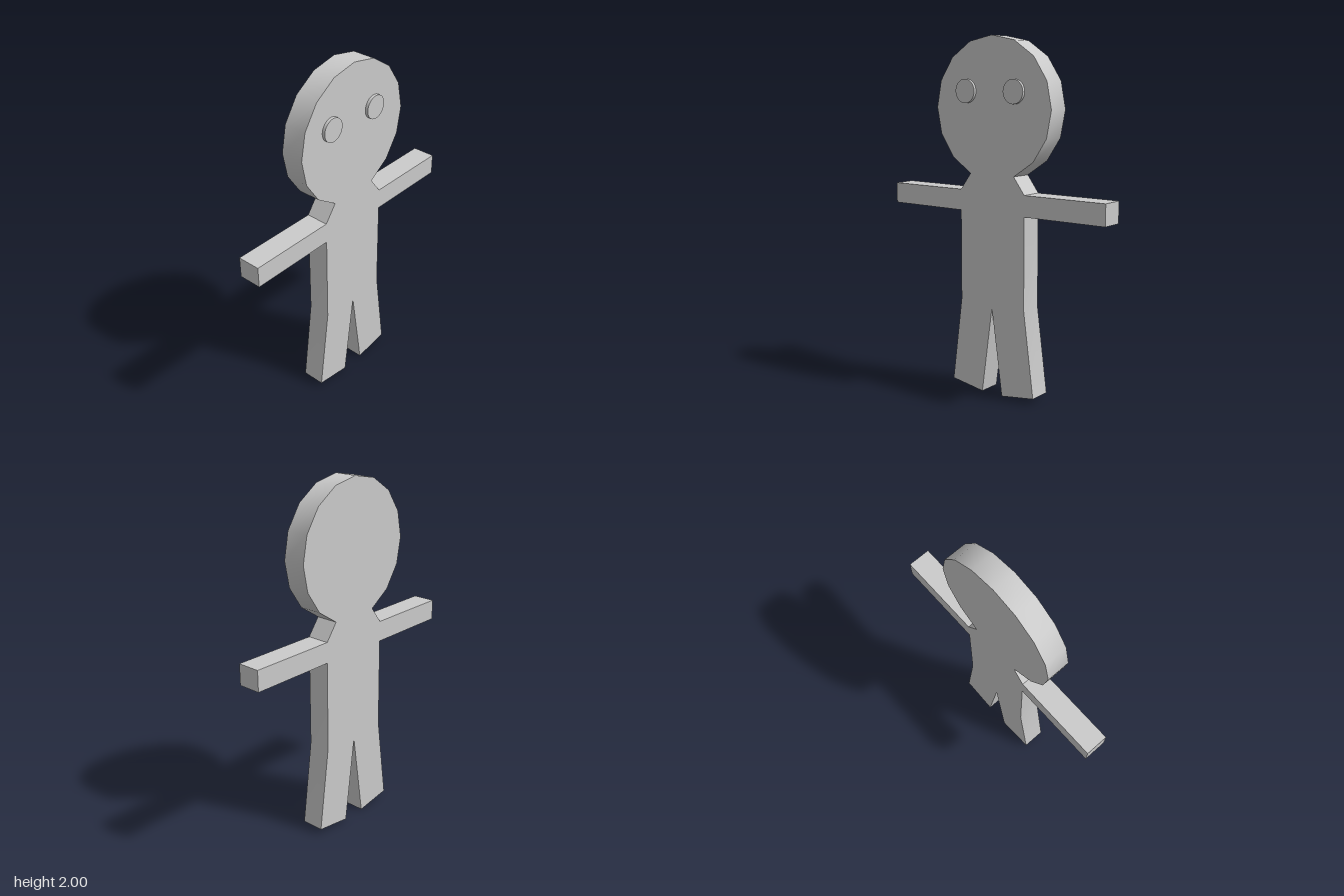
import * as THREE from 'three';
import { toCreasedNormals } from 'three/addons/utils/BufferGeometryUtils.js';

const BACK = -0.074, FRONT = 0.057, EYE_FRONT = 0.074;
const HEAD_Y = 1.61, HEAD_R = 0.39, HEAD_SIDES = 16;

export function createModel() {
  const group = new THREE.Group();
  group.name = 'flatFigure';
  const material = new THREE.MeshStandardMaterial({ color: 0xcccccc });

  // Left half of the outline: foot, leg, arm, shoulder
  const half = [
    [0.07, 0], [0.285, 0.032], [0.22, 0.52], [0.22, 1.037],
    [0.722, 1.037], [0.722, 1.155], [0.22, 1.155],
  ];

  // Head arc, from the neck up to just before the crown
  for (let i = -3; i < 4; i++) {
    const a = (i / HEAD_SIDES) * Math.PI * 2;
    half.push([HEAD_R * Math.cos(a), HEAD_Y + HEAD_R * Math.sin(a)]);
  }

  // Crotch, left half, crown, mirrored right half
  const mirrored = half.map(([x, y]) => [-x, y]).reverse();
  const outline = [[0, 0.5], ...half, [0, HEAD_Y + HEAD_R], ...mirrored];
  const shape = new THREE.Shape(outline.map(([x, y]) => new THREE.Vector2(x, y)));
  const slab = new THREE.ExtrudeGeometry(shape, { depth: FRONT - BACK, bevelEnabled: false });
  slab.translate(0, 0, BACK);
  const body = new THREE.Mesh(toCreasedNormals(slab, Math.PI / 6), material);
  body.name = 'body';
  group.add(body);

  // Eyes: thin discs standing on the face
  const depth = EYE_FRONT - FRONT;
  const disc = new THREE.CylinderGeometry(0.066, 0.066, depth, 32).rotateX(Math.PI / 2);
  for (const [name, x] of [['rightEye', -0.174], ['leftEye', 0.154]]) {
    const eye = new THREE.Mesh(disc, material);
    eye.name = name;
    eye.position.set(x, 1.702, FRONT + depth / 2);
    group.add(eye);
  }
  return group;
}
